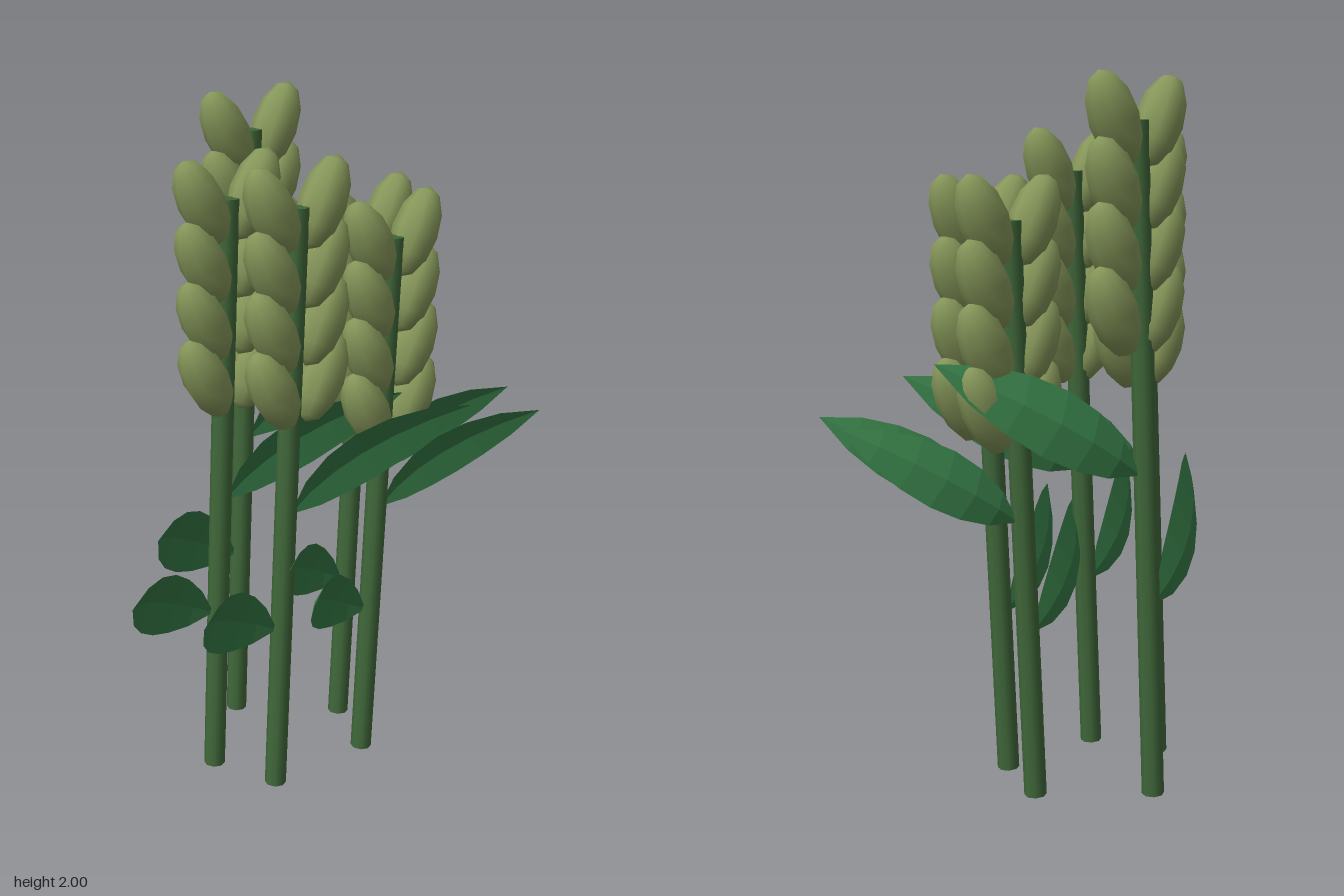
import * as THREE from 'three';

const stemMat = new THREE.MeshStandardMaterial({ color: 0x40683a });
const grainMat = new THREE.MeshStandardMaterial({ color: 0x86975a });
const leafMat = new THREE.MeshStandardMaterial({ color: 0x367a46, side: THREE.DoubleSide, flatShading: true });

const LEAN = 0.091; // sideways shift of each stem top

// Leaf blade: pointed oval, creased along the midrib and arching forward to its tip
function leafGeometry(length, halfWidth, arch, fold) {
  const geo = new THREE.PlaneGeometry(1, 2, 6, 2);
  const p = geo.attributes.position;
  for (let i = 0; i < p.count; i++) {
    const t = p.getX(i) + 0.5;
    const side = p.getY(i);
    const w = Math.pow(Math.max(0, Math.sin(Math.PI * t)), 0.75);
    p.setXYZ(i, t * length, side * w * halfWidth, arch * t * t + Math.abs(side) * w * fold);
  }
  geo.computeVertexNormals();
  return geo;
}

function add(group, name, geo, mat) {
  const mesh = new THREE.Mesh(geo, mat);
  mesh.name = name;
  group.add(mesh);
  return mesh;
}

function createStalk(height) {
  const stalk = new THREE.Group();

  // Leaning stem
  const stem = add(stalk, 'stem', new THREE.CylinderGeometry(0.032, 0.032, Math.hypot(height, LEAN), 8), stemMat);
  stem.position.set(LEAN / 2, height / 2, 0);
  stem.rotation.z = -Math.atan2(LEAN, height);

  // Four pairs of grains, tops splayed outward
  const grainGeo = new THREE.SphereGeometry(1, 8, 6).scale(0.067, 0.135, 0.067);
  for (let i = 0; i < 4; i++) {
    for (const side of [-1, 1]) {
      const grain = add(stalk, side > 0 ? 'leftGrain' : 'rightGrain', grainGeo, grainMat);
      grain.position.set(LEAN + side * 0.092, height - i * 0.165, 0);
      grain.rotation.z = -side * 0.47;
    }
  }

  // One leaf per side: [side, attachment height, tip x, tip y] as shares of the height
  for (const [side, y0, tipX, tipY] of [[1, 0.495, 0.285, 0.667], [-1, 0.295, -0.287, 0.466]]) {
    const x0 = LEAN * y0 + side * 0.018;
    const dx = tipX * height - x0;
    const dy = (tipY - y0) * height;
    const geo = leafGeometry(Math.hypot(dx, dy), 0.052 * height, 0.165 * height, 0.012 * height);
    const leaf = add(stalk, side > 0 ? 'leftLeaf' : 'rightLeaf', geo, leafMat);
    leaf.position.set(x0, y0 * height, 0);
    leaf.rotation.z = Math.atan2(dy, dx);
  }
  return stalk;
}

export function createModel() {
  const model = new THREE.Group();
  model.name = 'grainPlants';
  // Base x, base z and stem height of each stalk
  const stalks = [
    [0.038, -0.325, 1.88],
    [-0.23, -0.122, 1.75],
    [0.266, -0.08, 1.62],
    [-0.165, 0.086, 1.75],
    [0.17, 0.12, 1.62],
  ];
  stalks.forEach(([x, z, height], i) => {
    const stalk = createStalk(height);
    stalk.name = `stalk${i + 1}`;
    stalk.position.set(x, 0, z);
    model.add(stalk);
  });
  return model;
}
